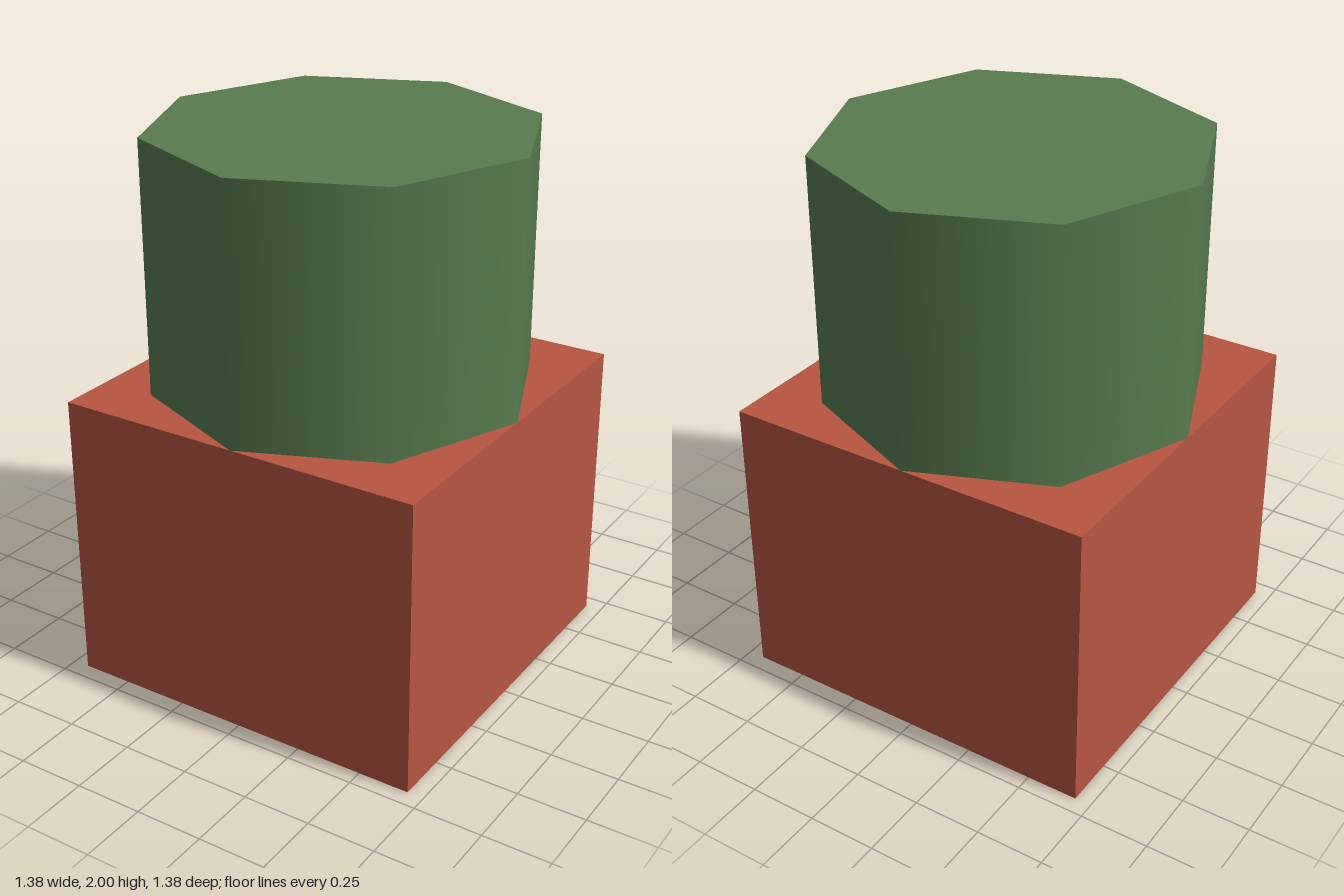
import * as THREE from 'three';

export function createModel() {
  const group = new THREE.Group();
  const mat = (name, color) => {
    const m = new THREE.MeshStandardMaterial({ color });
    m.name = name;
    return m;
  };
  const add = (name, geometry, material, y) => {
    const mesh = new THREE.Mesh(geometry, material);
    mesh.name = name;
    mesh.position.y = y;
    group.add(mesh);
  };
  const half = 0.69, baseHeight = 1.08, topHeight = 0.92;

  // Square block at the bottom
  add('base', new THREE.BoxGeometry(half * 2, baseHeight, half * 2),
    mat('brick red', 0xb65541), baseHeight / 2);

  // Eight-sided drum with smooth side shading, corners touching the block's edges
  add('drum', new THREE.CylinderGeometry(half, half, topHeight, 8),
    mat('leaf green', 0x587b4f), baseHeight + topHeight / 2);

  return group;
}
